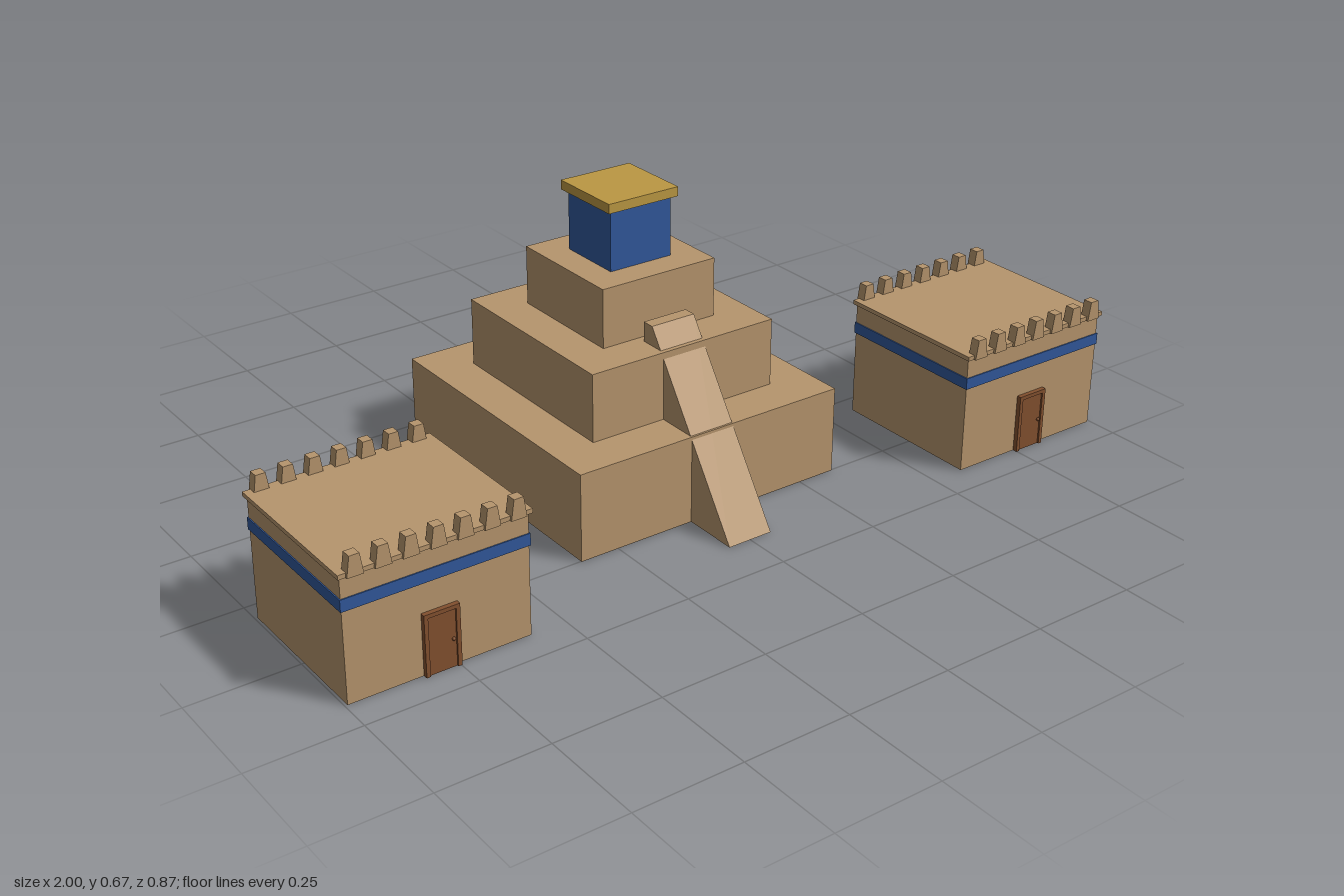
import * as THREE from 'three';

const brick = new THREE.MeshStandardMaterial({ name: 'mud brick', color: 0xb6956d });
const blue = new THREE.MeshStandardMaterial({ name: 'blue glaze', color: 0x31589b });
const gold = new THREE.MeshStandardMaterial({ name: 'gold roof', color: 0xbb9843 });
const wood = new THREE.MeshStandardMaterial({ name: 'door wood', color: 0x82502f });

// Box given by its size, with its base resting at height y
function block(name, material, w, h, d, x, y, z) {
  const mesh = new THREE.Mesh(new THREE.BoxGeometry(w, h, d), material);
  mesh.name = name;
  mesh.position.set(x, y + h / 2, z);
  return mesh;
}

// Outline extruded symmetrically about its own plane
function prism(points, depth) {
  const shape = new THREE.Shape(points.map(([x, y]) => new THREE.Vector2(x, y)));
  return new THREE.ExtrudeGeometry(shape, { depth, bevelEnabled: false }).translate(0, 0, -depth / 2);
}

function createZiggurat() {
  const group = new THREE.Group();
  group.name = 'ziggurat';
  const z = -0.092;

  // Stepped tiers: width, base height, top height
  [[0.688, 0, 0.207], [0.482, 0.207, 0.367], [0.298, 0.367, 0.505]].forEach(([w, y0, y1], i) =>
    group.add(block('tier' + (i + 1), brick, w, y1 - y0, w, 0, y0, z)));

  // Shrine on top
  group.add(block('shrine', blue, 0.16, 0.14, 0.16, 0, 0.505, z));
  group.add(block('shrineRoof', gold, 0.183, 0.022, 0.183, 0, 0.645, z));

  // Solid wedge ramp climbing the front; the outline's x becomes +z
  const ramp = new THREE.Mesh(
    prism([[0.077, 0], [0.388, 0], [0.107, 0.413], [0.077, 0.413]], 0.112), brick);
  ramp.name = 'ramp';
  ramp.rotation.y = -Math.PI / 2;
  group.add(ramp);
  return group;
}

function createHouse(name, x) {
  const group = new THREE.Group();
  group.name = name;
  group.position.set(x, 0, 0.237);

  group.add(block('walls', brick, 0.412, 0.278, 0.374, 0, 0, 0));
  group.add(block('blueBand', blue, 0.417, 0.027, 0.379, 0, 0.205, 0));
  group.add(block('roofSlab', brick, 0.424, 0.01, 0.388, 0, 0.278, 0));

  // Tapered merlons along the front and back edges
  const merlonShape = prism([[-0.018, 0], [0.018, 0], [0.011, 0.046], [-0.011, 0.046]], 0.023);
  for (const z of [-0.188, 0.188]) {
    for (let i = -3; i <= 3; i++) {
      const merlon = new THREE.Mesh(merlonShape, brick);
      merlon.name = 'merlon';
      merlon.position.set(i * 0.0593, 0.278, z);
      group.add(merlon);
    }
  }

  // Door with raised frame and knob
  group.add(block('doorPanel', wood, 0.076, 0.136, 0.012, 0, 0, 0.188));
  for (const side of [-1, 1]) group.add(block('doorJamb', wood, 0.009, 0.14, 0.013, side * 0.0355, 0, 0.1915));
  group.add(block('doorLintel', wood, 0.062, 0.009, 0.013, 0, 0.131, 0.1915));
  const knob = new THREE.Mesh(new THREE.SphereGeometry(0.004, 10, 8), wood);
  knob.name = 'doorKnob';
  knob.position.set(0.024, 0.065, 0.197);
  group.add(knob);
  return group;
}

export function createModel() {
  const model = new THREE.Group();
  model.name = 'templeCompound';
  model.add(createZiggurat(), createHouse('leftHouse', 0.788), createHouse('rightHouse', -0.788));
  return model;
}
